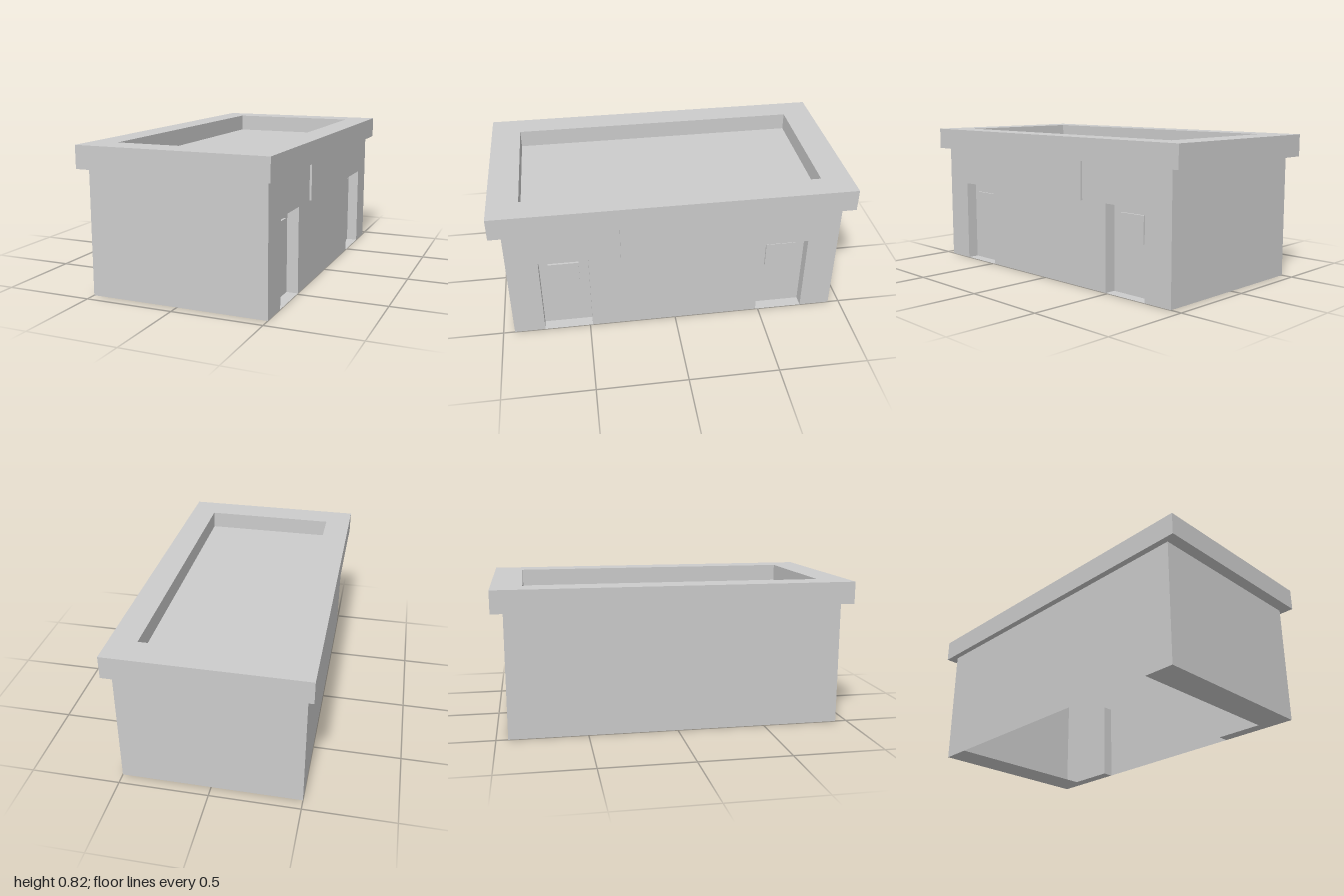
import * as THREE from 'three';

const material = new THREE.MeshStandardMaterial({ color: 0xcccccc, flatShading: true, side: THREE.DoubleSide });

const W = 0.5, L = 0.935, H = 0.695;          // half width, half length, height of the walls
const ROOF_TOP = 0.82, ROOF_FLOOR = 0.72;
const DOOR = { near: 0.485, far: 0.76, height: 0.48, back: 0.435 };

function add(parent, name, geometry) {
  const mesh = new THREE.Mesh(geometry, material);
  mesh.name = name;
  parent.add(mesh);
  return mesh;
}

// Box given by its minimum and maximum corners
function box(parent, name, [x0, y0, z0], [x1, y1, z1]) {
  const mesh = add(parent, name, new THREE.BoxGeometry(x1 - x0, y1 - y0, z1 - z0));
  mesh.position.set((x0 + x1) / 2, (y0 + y1) / 2, (z0 + z1) / 2);
}

// Thin panels facing along one axis
function panelX(parent, name, x, y0, y1, z0, z1, facing = 1) {
  const geometry = new THREE.PlaneGeometry(z1 - z0, y1 - y0).rotateY(facing * Math.PI / 2);
  add(parent, name, geometry).position.set(x, (y0 + y1) / 2, (z0 + z1) / 2);
}
function panelY(parent, name, y, x0, x1, z0, z1, facing = 1) {
  const geometry = new THREE.PlaneGeometry(x1 - x0, z1 - z0).rotateX(-facing * Math.PI / 2);
  add(parent, name, geometry).position.set((x0 + x1) / 2, y, (z0 + z1) / 2);
}
function panelZ(parent, name, z, x0, x1, y0, y1, facing = 1) {
  const geometry = new THREE.PlaneGeometry(x1 - x0, y1 - y0).rotateY(facing > 0 ? 0 : Math.PI);
  add(parent, name, geometry).position.set((x0 + x1) / 2, (y0 + y1) / 2, z);
}

function rectangle(Type, a, b) {
  return new Type([[-a, -b], [a, -b], [a, b], [-a, b]].map(p => new THREE.Vector2(...p)));
}

// Wall shell, with door notches cut into the +x side
function buildWalls() {
  const walls = new THREE.Group();
  walls.name = 'walls';
  panelX(walls, 'plainSideWall', -W, 0, H, -L, L, -1);
  panelZ(walls, 'frontWall', L, -W, W, 0, H, 1);
  panelZ(walls, 'backWall', -L, -W, W, 0, H, -1);
  const { near, far, height } = DOOR;
  const outline = [
    [-L, 0], [-far, 0], [-far, height], [-near, height], [-near, 0],
    [near, 0], [near, height], [far, height], [far, 0], [L, 0], [L, H], [-L, H],
  ].map(p => new THREE.Vector2(...p));
  const sideWall = new THREE.ShapeGeometry(new THREE.Shape(outline)).rotateY(Math.PI / 2);
  add(walls, 'doorSideWall', sideWall).position.x = W;
  // Base strips under the two end walls
  for (const s of [-1, 1]) {
    const z = [s * L, s * DOOR.far].sort((a, b) => a - b);
    panelY(walls, 'baseStrip', 0, -W, W, z[0], z[1], -1);
  }
  return walls;
}

// Recessed doorway with a door and a raised window
function buildDoorway(side) {
  const doorway = new THREE.Group();
  doorway.name = side > 0 ? 'frontDoorway' : 'backDoorway';
  const { near, far, height, back } = DOOR;
  const [z0, z1] = side > 0 ? [near, far] : [-far, -near];
  panelX(doorway, 'door', back, 0, height, z0, z1);
  panelZ(doorway, 'jamb', z0, back, W, 0, height, 1);
  panelZ(doorway, 'jamb', z1, back, W, 0, height, -1);
  panelY(doorway, 'lintel', height, back, W, z0, z1, -1);
  panelY(doorway, 'threshold', 0, back, W, z0, z1, 1);
  const [w0, w1] = side > 0 ? [0.54, 0.71] : [-0.705, -0.535];
  box(doorway, 'doorWindow', [back, 0.285, w0], [back + 0.012, side > 0 ? 0.425 : 0.435, w1]);
  return doorway;
}

// Overhanging parapet ring around a sunken flat roof
function buildRoof() {
  const roof = new THREE.Group();
  roof.name = 'roof';
  const ring = rectangle(THREE.Shape, 0.535, 1);
  ring.holes.push(rectangle(THREE.Path, 0.385, 0.83));
  const geometry = new THREE.ExtrudeGeometry(ring, { depth: ROOF_TOP - H, bevelEnabled: false });
  add(roof, 'parapet', geometry.rotateX(-Math.PI / 2)).position.y = H;
  panelY(roof, 'roofFloor', ROOF_FLOOR, -0.385, 0.385, -0.83, 0.83);
  return roof;
}

export function createModel() {
  const model = new THREE.Group();
  model.name = 'flatRoofBuilding';
  model.add(buildWalls(), buildDoorway(1), buildDoorway(-1), buildRoof());
  // Blank board under the eaves, between the doors
  box(model, 'signBoard', [W, 0.48, -0.307], [W + 0.012, H, 0.307]);
  return model;
}
